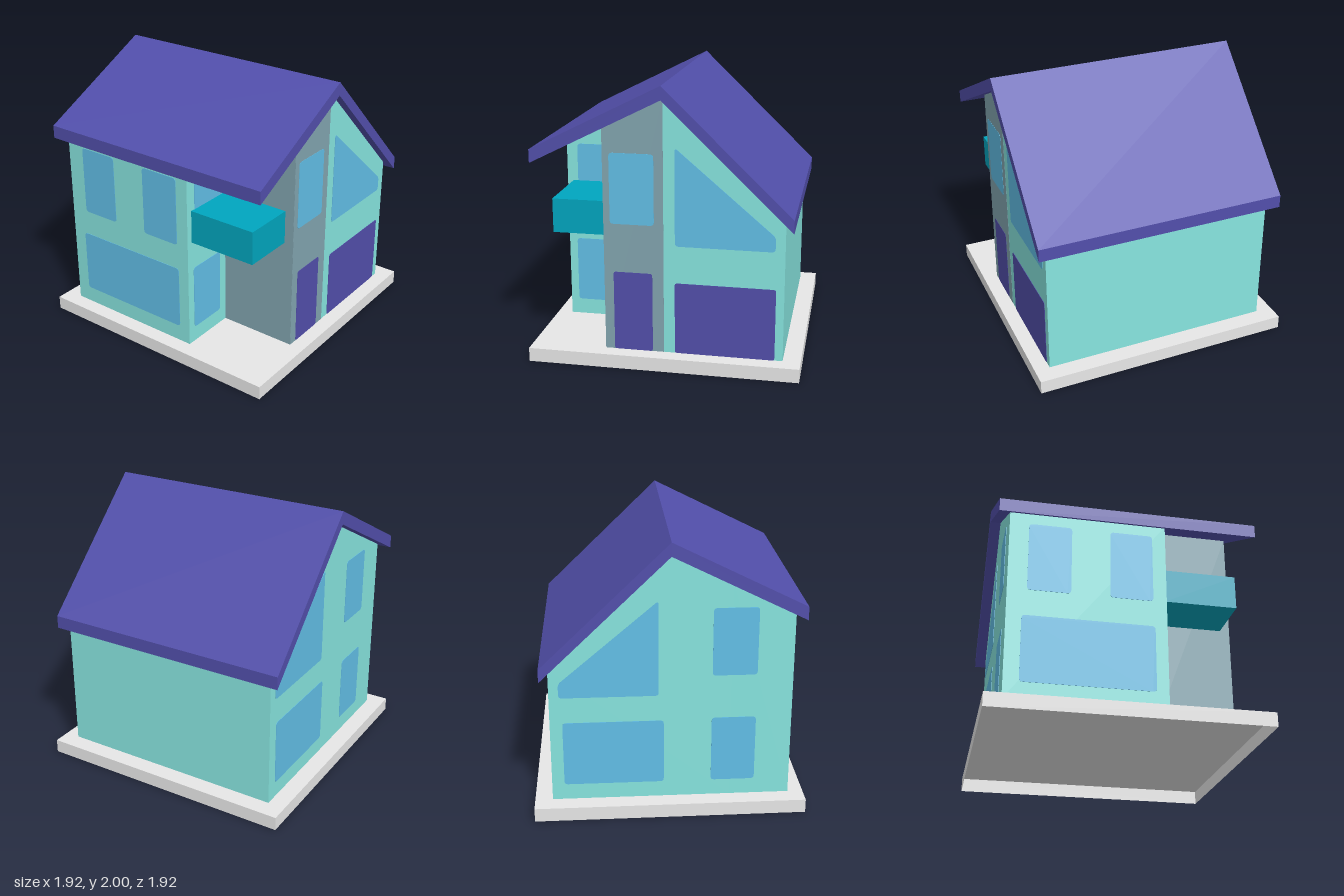
import * as THREE from 'three';

const mat = (name, color) => {
  const m = new THREE.MeshStandardMaterial({ color });
  m.name = name;
  return m;
};

// Shape from a polygon, with optional rounded corners
function polygon(points, r = 0) {
  const p = points.map(([x, y]) => new THREE.Vector2(x, y));
  const shape = new THREE.Shape();
  if (!r) return shape.setFromPoints(p);
  p.forEach((c, i) => {
    const towards = (q) => c.clone().add(q.clone().sub(c).setLength(r));
    const a = towards(p[(i + p.length - 1) % p.length]);
    const b = towards(p[(i + 1) % p.length]);
    if (i) shape.lineTo(a.x, a.y);
    else shape.moveTo(a.x, a.y);
    shape.quadraticCurveTo(c.x, c.y, b.x, b.y);
  });
  shape.closePath();
  return shape;
}

const rect = (x0, x1, y0, y1) => [[x0, y0], [x1, y0], [x1, y1], [x0, y1]];

export function createModel() {
  const house = new THREE.Group();
  house.name = 'house';

  const wall = mat('mintWall', 0x87e5df);
  const stone = mat('greyPanel', 0x82a5b0);
  const purple = mat('purple', 0x524fab);
  const glass = mat('blueGlass', 0x62bfe7);
  const teal = mat('tealBalcony', 0x00a6bf);
  const concrete = mat('concrete', 0xe8e8e8);
  concrete.side = THREE.DoubleSide;

  const add = (name, geometry, material) => {
    const mesh = new THREE.Mesh(geometry, material);
    mesh.name = name;
    house.add(mesh);
    return mesh;
  };
  const box = (name, material, x0, x1, y0, y1, z0, z1) => {
    const mesh = add(name, new THREE.BoxGeometry(x1 - x0, y1 - y0, z1 - z0), material);
    mesh.position.set((x0 + x1) / 2, (y0 + y1) / 2, (z0 + z1) / 2);
    return mesh;
  };
  const prism = (name, material, points, z0, z1) =>
    add(name, new THREE.ExtrudeGeometry(polygon(points), { depth: z1 - z0, bevelEnabled: false }), material)
      .position.z = z0;

  // Thin plate set half into a wall; on side walls the first coordinate is z
  const plate = (name, material, points, at, { side = false, r = 0.026, out = 0.003 } = {}) => {
    const g = new THREE.ExtrudeGeometry(polygon(points, r), { depth: out * 2, bevelEnabled: false, curveSegments: 5 });
    g.translate(0, 0, -out);
    if (side) g.rotateY(-Math.PI / 2);
    add(name, g, material).position[side ? 'x' : 'z'] = at;
  };

  // Underside of the roof at a given x
  const under = (x) => 1.905 + (x < 0 ? x * 0.5 : -x * 0.964);

  // Base slab: a hollow tray, open underneath
  const slab = box('baseSlab', concrete, -0.96, 0.96, 0, 0.1, -0.96, 0.96).geometry;
  slab.setIndex([...slab.index.array].filter((_, i) => i < 18 || i > 23));
  slab.clearGroups();

  // House body: deep main block and a shorter wing beneath the long roof slope
  const lift = 0.01;
  const floor = 0.102;
  prism('mainBlock', wall, [[-0.42, floor], [0.835, floor], [0.835, under(0.835) + lift],
    [0, under(0) + lift], [-0.42, under(-0.42) + lift]], -0.835, 0.85);
  prism('sideWing', wall, [[-0.85, floor], [-0.42, floor], [-0.42, under(-0.42) + lift],
    [-0.85, under(-0.85) + lift]], -0.835, 0.265);

  // Asymmetric gable roof
  prism('roof', purple, [[-0.915, 1.447], [0, 1.905], [0.893, 1.043],
    [0.893, 1.137], [0, 2], [-0.915, 1.542]], -0.915, 0.915);

  // Grey entrance panel, wrapping round the corner into the recess
  plate('entrancePanel', stone, [[-0.42, floor], [0, floor], [0, under(0)], [-0.42, under(-0.42)]],
    0.85, { r: 0, out: 0.0015 });
  plate('entrancePanelSide', stone, rect(0.265, 0.85, floor, under(-0.42)), -0.42, { side: true, r: 0, out: 0.0015 });

  // Balcony filling the recess
  box('balcony', teal, -0.805, -0.42, 0.92, 1.165, 0.265, 0.78);

  // Doors
  plate('frontDoor', purple, rect(-0.355, -0.08, floor, 0.68), 0.85, { r: 0.018 });
  plate('garageDoor', purple, rect(0.078, 0.778, floor, 0.622), 0.85, { r: 0.018 });

  // Slanted gable windows, front and back
  for (const [name, z] of [['frontGableWindow', 0.85], ['backGableWindow', -0.835]]) {
    plate(name, glass, [[0.08, 0.89], [0.768, 0.89], [0.768, 0.995], [0.08, 1.58]], z);
  }

  // Front windows
  plate('entranceWindow', glass, rect(-0.375, -0.065, 1.028, 1.528), 0.85);
  plate('balconyWindow', glass, rect(-0.77, -0.47, 0.95, 1.445), 0.265);
  plate('recessWindow', glass, rect(-0.79, -0.49, 0.22, 0.71), 0.265);

  // Back windows
  plate('backWideWindow', glass, rect(0.045, 0.748, 0.22, 0.7), -0.835);
  plate('backUpperWindow', glass, rect(-0.6, -0.29, 1.03, 1.52), -0.835);
  plate('backLowerWindow', glass, rect(-0.6, -0.29, 0.22, 0.71), -0.835);

  // Windows on the wing's outer wall
  plate('sideWideWindow', glass, rect(-0.73, 0.18, 0.225, 0.7), -0.85, { side: true });
  for (const z of [-0.7, -0.13]) {
    plate('sideUpperWindow', glass, rect(z, z + 0.3, 0.89, 1.4), -0.85, { side: true });
  }

  return house;
}
